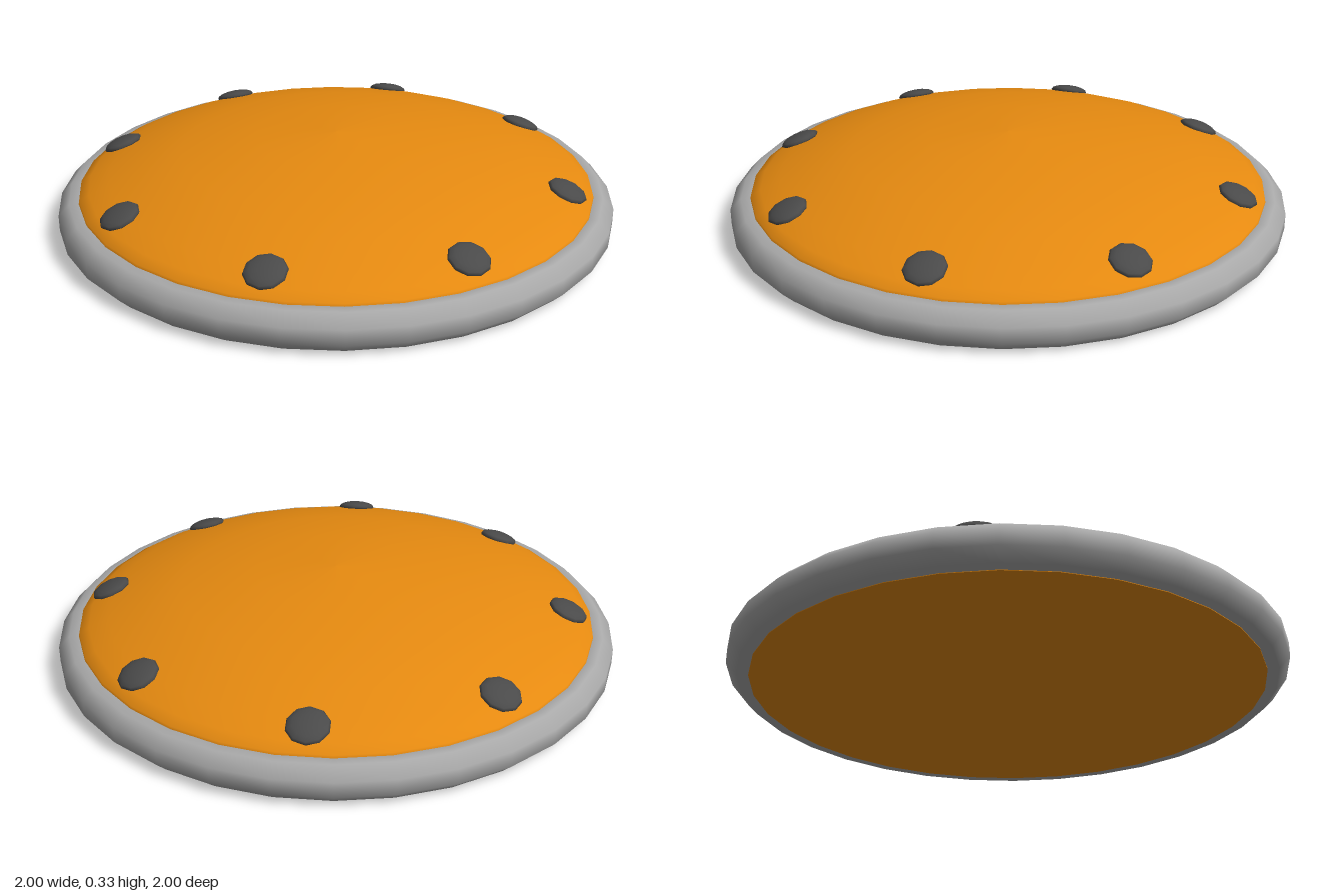
import * as THREE from 'three';

const SEGMENTS = 32;
const paint = (color) => new THREE.MeshStandardMaterial({ color });

function addMesh(parent, name, geometry, material) {
  const mesh = new THREE.Mesh(geometry, material);
  mesh.name = name;
  parent.add(mesh);
  return mesh;
}

const lathe = (points) =>
  new THREE.LatheGeometry(points.map(([r, y]) => new THREE.Vector2(r, y)), SEGMENTS);

export function createModel() {
  const model = new THREE.Group();
  model.name = 'studdedDisc';
  const orange = paint(0xe68a10);
  const grey = paint(0xaaaaaa);
  const dark = paint(0x4a4a4a);

  // Rim: an octagonal tube swept round the disc, its seam on the hidden inner side
  const tube = 0.0725;
  const section = [];
  for (let i = 0; i <= 8; i++) {
    const a = Math.PI * (1.125 + i / 4);
    section.push([0.933 + tube * Math.cos(a), 0.069 + tube * Math.sin(a)]);
  }
  addMesh(model, 'rim', lathe(section), grey);

  // Shallow dome with a slightly rounded shoulder
  addMesh(model, 'dome', lathe([
    [0.92, 0], [0.93, 0.125], [0.925, 0.145], [0.89, 0.166], [0.82, 0.195],
    [0.7, 0.234], [0.56, 0.27], [0.29, 0.314], [0, 0.327],
  ]), orange);

  // Flat underside
  const base = addMesh(model, 'underside', new THREE.CircleGeometry(0.92, SEGMENTS), orange);
  base.rotation.x = Math.PI / 2;

  // Eight flattened studs, tilted to follow the dome
  const studGeometry = new THREE.SphereGeometry(0.073, 10, 8);
  studGeometry.scale(1, 0.32, 1);
  const studs = new THREE.Group();
  studs.name = 'studs';
  for (let i = 0; i < 8; i++) {
    const arm = new THREE.Group();
    arm.name = 'studArm';
    arm.rotation.y = -THREE.MathUtils.degToRad(16.7 + i * 45);
    const stud = addMesh(arm, 'stud', studGeometry, dark);
    stud.position.set(0.836, 0.191, 0);
    stud.rotation.z = -0.38;
    studs.add(arm);
  }
  model.add(studs);

  return model;
}
